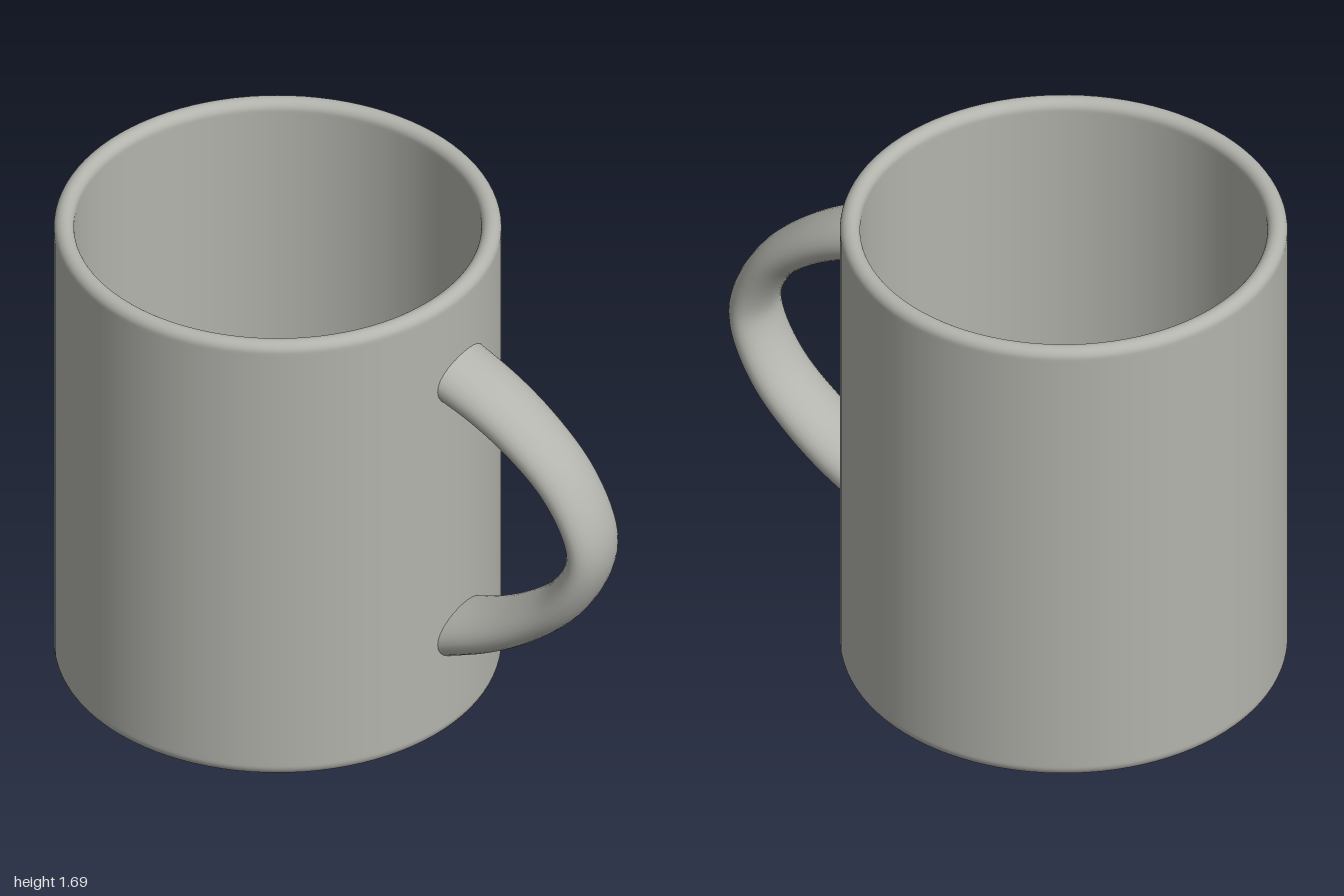
import * as THREE from 'three';

const CX = -0.28;      // axis of the cup
const R = 0.72, H = 1.69;

// Closed cup wall: recessed foot, rounded base, rounded rim, filleted floor
function cupGeometry() {
  const path = new THREE.Path();
  path.moveTo(0, 0.02);
  path.lineTo(0.6, 0.02);
  path.lineTo(0.62, 0);
  path.absarc(R - 0.045, 0.045, 0.045, -Math.PI / 2, 0, false);
  path.absarc(R - 0.0325, H - 0.0325, 0.0325, 0, Math.PI, false);
  path.absarc(0.605, 0.12, 0.05, 0, -Math.PI / 2, true);
  path.lineTo(0, 0.07);

  // Support points beside each bend keep the long walls smoothly shaded
  const raw = path.getPoints(8), pts = [];
  raw.forEach((p, i) => {
    if (i > 0) {
      const q = raw[i - 1], d = p.distanceTo(q);
      if (d < 1e-5) return;
      if (d > 0.1) {
        pts.push(q.clone().lerp(p, 0.01 / d), q.clone().lerp(p, 1 - 0.01 / d));
      }
    }
    pts.push(p);
  });
  pts[0].x = 0;
  pts[pts.length - 1].x = 0;
  return new THREE.LatheGeometry(pts, 96);
}

// Elliptical sweep, wider and thicker towards the wall
function handleGeometry() {
  const MID = 0.865;
  const upper = [[0.38, 1.378], [0.56, 1.303], [0.70, 1.217], [0.83, 1.10], [0.912, 0.965]];
  const lower = upper.map(([x, y]) => [x, 2 * MID - y]).reverse();
  const curve = new THREE.CatmullRomCurve3(
    [...upper, [0.935, MID], ...lower].map(([x, y]) => new THREE.Vector3(x, y, 0)));
  const STEPS = 56, SIDES = 28, pos = [], index = [];
  for (let i = 0; i <= STEPS; i++) {
    const u = i / STEPS, c = curve.getPointAt(u), t = curve.getTangentAt(u);
    const k = Math.pow(Math.abs(2 * u - 1), 1.3);
    const a = 0.065 + 0.021 * k, b = 0.115 + 0.021 * k;
    for (let j = 0; j < SIDES; j++) {
      const w = (j / SIDES) * Math.PI * 2, n = a * Math.cos(w);
      // ends stay inside the thickness of the cup wall
      pos.push(Math.max(c.x - t.y * n, 0.39), c.y + t.x * n, b * Math.sin(w));
      if (i < STEPS) {
        const p = i * SIDES + j, q = i * SIDES + (j + 1) % SIDES;
        index.push(p, q, p + SIDES, q, q + SIDES, p + SIDES);
      }
    }
  }
  const g = new THREE.BufferGeometry();
  g.setAttribute('position', new THREE.Float32BufferAttribute(pos, 3));
  g.setIndex(index);
  g.computeVertexNormals();
  return g;
}

export function createModel() {
  const model = new THREE.Group();
  model.name = 'mug';
  const ceramic = new THREE.MeshStandardMaterial({ color: 0xb4b4ae });
  ceramic.name = 'grey ceramic';

  const cup = new THREE.Mesh(cupGeometry(), ceramic);
  cup.name = 'cup';
  cup.position.x = CX;

  const handle = new THREE.Mesh(handleGeometry(), ceramic);
  handle.name = 'handle';

  model.add(cup, handle);
  return model;
}
